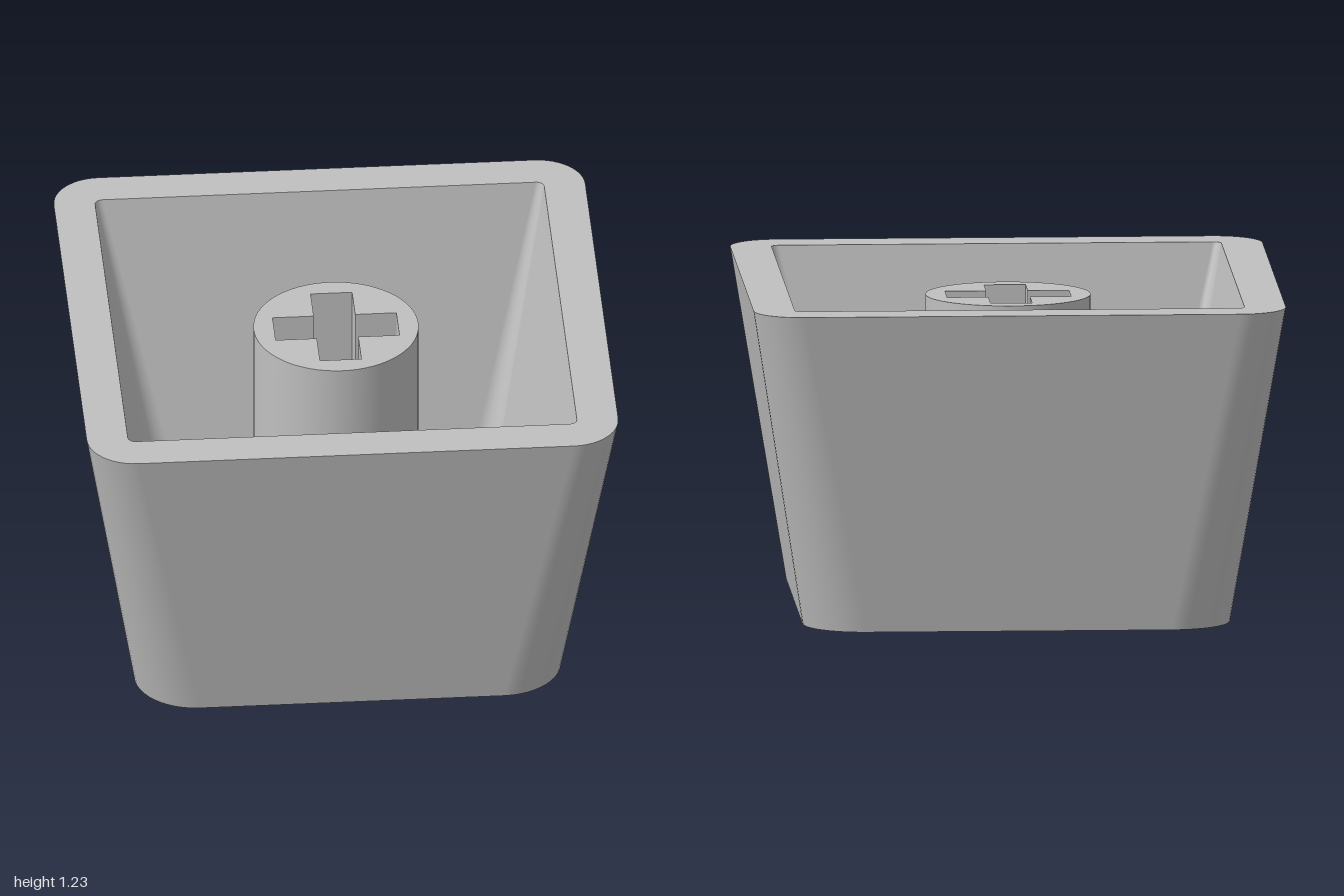
import * as THREE from 'three';

const HEIGHT = 1.225, FLOOR = 0.155, STEM_TOP = 1.16;

// Rounded square outline as Vector2 (x, z)
function roundedSquare(half, r, steps = 12) {
  const pts = [];
  [[1, 1], [-1, 1], [-1, -1], [1, -1]].forEach(([sx, sz], corner) => {
    for (let i = 0; i <= steps; i++) {
      const a = (corner + i / steps) * Math.PI / 2;
      pts.push(new THREE.Vector2(
        sx * (half - r) + r * Math.cos(a),
        sz * (half - r) + r * Math.sin(a)));
    }
  });
  return pts;
}

// Wall between two matching outlines; inward turns the faces to the inside
function wall(lower, y0, upper, y1, inward = false, flat = false) {
  const n = lower.length, pos = [], index = [];
  lower.forEach(p => pos.push(p.x, y0, p.y));
  upper.forEach(p => pos.push(p.x, y1, p.y));
  for (let i = 0; i < n; i++) {
    const j = (i + 1) % n;
    if (inward) index.push(i, j, n + i, j, n + j, n + i);
    else index.push(i, n + i, j, j, n + i, n + j);
  }
  let geo = new THREE.BufferGeometry();
  geo.setAttribute('position', new THREE.Float32BufferAttribute(pos, 3));
  geo.setIndex(index);
  if (flat) geo = geo.toNonIndexed();
  geo.computeVertexNormals();
  return geo;
}

// Flat horizontal face, optionally with a hole
function face(outline, y, hole = null, down = false) {
  const shape = new THREE.Shape(outline);
  if (hole) shape.holes.push(new THREE.Path(hole));
  return new THREE.ShapeGeometry(shape)
    .rotateX(down ? Math.PI / 2 : -Math.PI / 2)
    .translate(0, y, 0);
}

export function createModel() {
  const grey = new THREE.MeshStandardMaterial({ color: 0xc0c0c0 });
  grey.name = 'greyPlastic';
  const model = new THREE.Group();
  model.name = 'keycap';

  const part = (parent, name, geo) => {
    const mesh = new THREE.Mesh(geo, grey);
    mesh.name = name;
    parent.add(mesh);
  };

  // Hollow tapered shell, open at the top
  const shell = new THREE.Group();
  shell.name = 'shell';
  model.add(shell);
  const outerBottom = roundedSquare(0.803, 0.23), outerTop = roundedSquare(1, 0.18);
  const innerBottom = roundedSquare(0.648, 0.085), innerTop = roundedSquare(0.845, 0.03);
  part(shell, 'outerWall', wall(outerBottom, 0, outerTop, HEIGHT));
  part(shell, 'innerWall', wall(innerBottom, FLOOR, innerTop, HEIGHT, true));
  part(shell, 'rim', face(outerTop, HEIGHT, innerTop));
  part(shell, 'innerFloor', face(innerBottom, FLOOR));
  part(shell, 'base', face(outerBottom, 0, null, true));

  // Round stem with a cross-shaped socket
  const stem = new THREE.Group();
  stem.name = 'stem';
  model.add(stem);
  const R = 0.31, L = 0.233, W = 0.078;
  const circle = Array.from({ length: 64 }, (_, i) => {
    const a = i / 64 * Math.PI * 2;
    return new THREE.Vector2(R * Math.cos(a), R * Math.sin(a));
  });
  const cross = [];
  for (let k = 0; k < 4; k++) {
    for (const [x, z] of [[L, -W], [L, W], [W, W]]) {
      cross.push(new THREE.Vector2(x, z).rotateAround(new THREE.Vector2(), k * Math.PI / 2));
    }
  }
  part(stem, 'stemWall', wall(circle, FLOOR, circle, STEM_TOP));
  part(stem, 'stemTop', face(circle, STEM_TOP, cross));
  part(stem, 'crossSocket', wall(cross, FLOOR, cross, STEM_TOP, true, true));

  return model;
}
